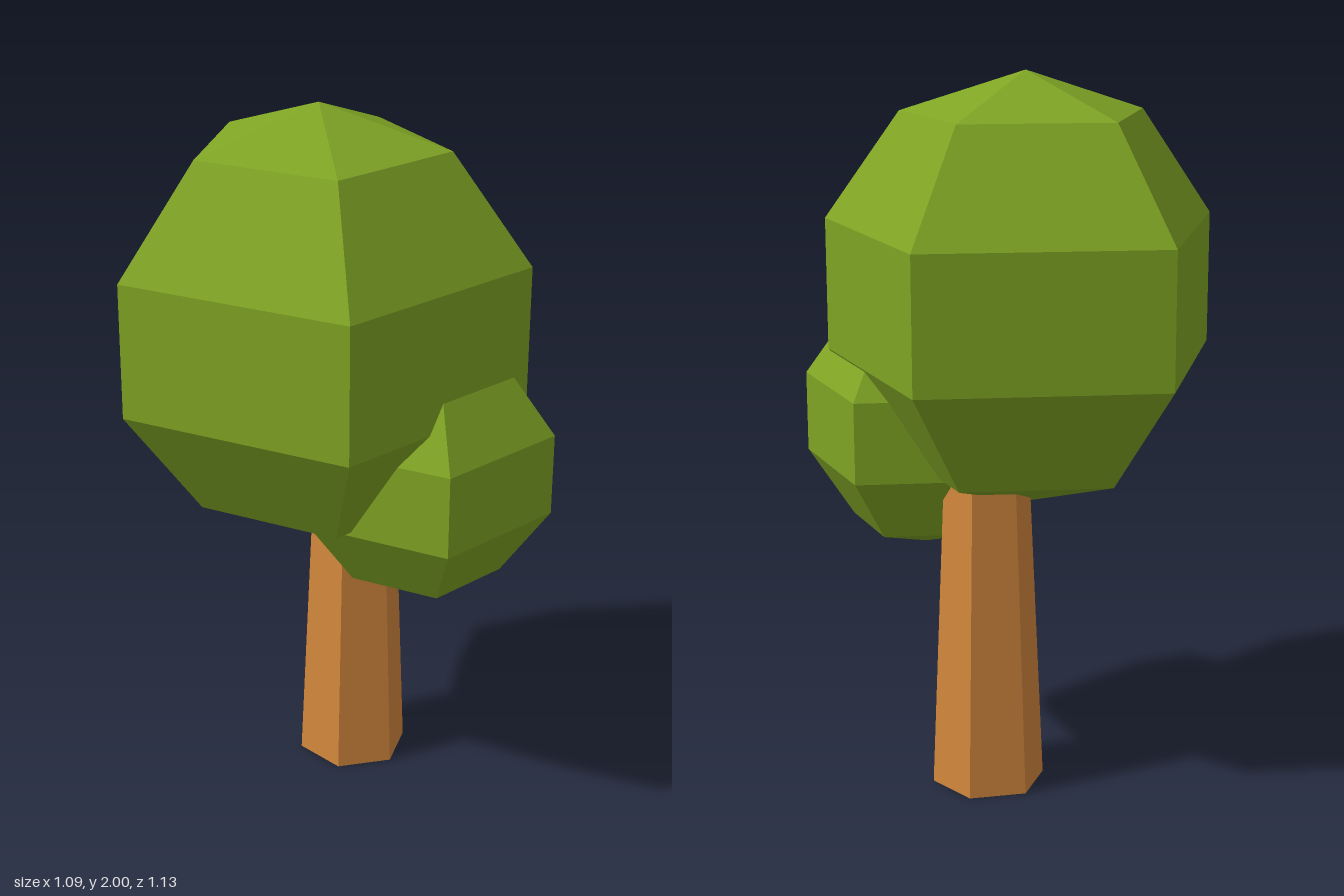
import * as THREE from 'three';

const leafMaterial = new THREE.MeshStandardMaterial({ color: 0x7fa424, flatShading: true });
const barkMaterial = new THREE.MeshStandardMaterial({ color: 0xd2873c, flatShading: true });

// Five-sided faceted ball with a flat side to the front and a corner to the back
function foliage(name, radius, x, y, z) {
  const geometry = new THREE.SphereGeometry(radius, 5, 5, -Math.PI / 2);
  const mesh = new THREE.Mesh(geometry, leafMaterial);
  mesh.name = name;
  mesh.position.set(x, y, z);
  return mesh;
}

export function createModel() {
  const tree = new THREE.Group();
  tree.name = 'tree';

  // Tapered six-sided trunk, its top hidden in the crown
  const height = 1.1;
  const trunk = new THREE.Mesh(new THREE.CylinderGeometry(0.112, 0.16, height, 6), barkMaterial);
  trunk.name = 'trunk';
  trunk.position.set(0.155, height / 2, -0.005);
  tree.add(trunk);

  // Large crown and the smaller clump in front of it
  tree.add(foliage('crown', 0.603, 0, 1.397, 0.006));
  tree.add(foliage('lowerFoliage', 0.371, 0.142, 1.012, 0.279));

  return tree;
}
